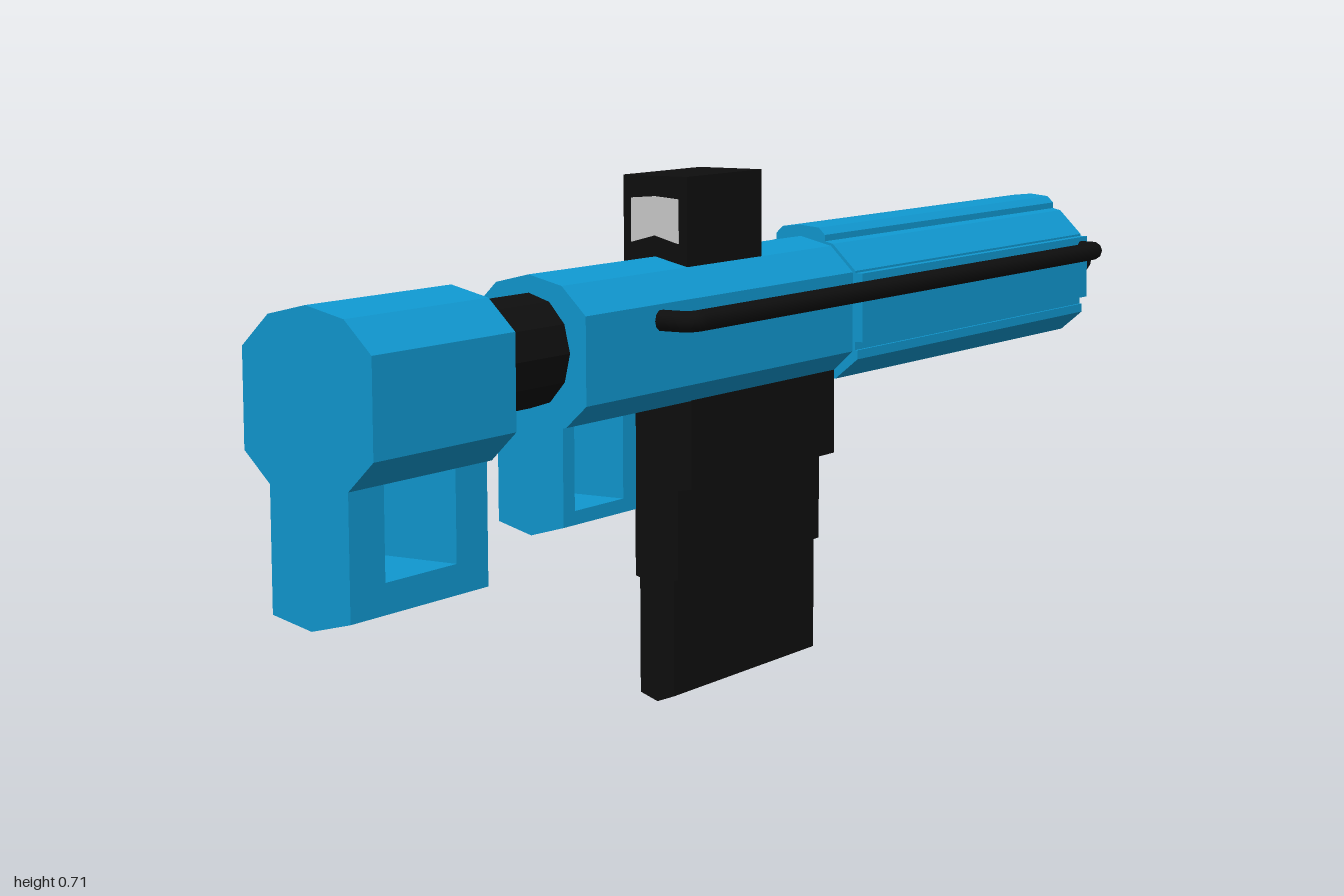
import * as THREE from 'three';

const mat = (color) => new THREE.MeshStandardMaterial({ color, flatShading: true });
const blue = mat(0x1098d0), black = mat(0x0e0e0e), grey = mat(0xcccccc);
const smoothBlack = new THREE.MeshStandardMaterial({ color: 0x0e0e0e });

export function createModel() {
  const model = new THREE.Group();

  const add = (name, geometry, material, x = 0, y = 0, z = 0) => {
    const mesh = new THREE.Mesh(geometry, material);
    mesh.name = name;
    mesh.position.set(x, y, z);
    model.add(mesh);
    return mesh;
  };

  // Prism along z; half lists the +x side of a mirrored outline, top to bottom
  const prism = (name, half, z0, z1, material) => {
    const mirrored = half.filter(([x]) => x > 0).map(([x, y]) => [-x, y]).reverse();
    const shape = new THREE.Shape([...half, ...mirrored].map(([x, y]) => new THREE.Vector2(x, y)));
    const geometry = new THREE.ExtrudeGeometry(shape, { depth: z1 - z0, bevelEnabled: false });
    return add(name, geometry, material, 0, 0, z0);
  };

  // Rectangular loop below a body: two walls and a floor with a shallow V underside
  const loop = (name, w, top, bottom, floor, z0, z1, h0, h1) => {
    const profile = (y) => [[w, y], [w, bottom + 0.014], [0, bottom]];
    prism(name + 'BackWall', profile(top), z0, h0, blue);
    prism(name + 'FrontWall', profile(top), h1, z1, blue);
    prism(name + 'Floor', profile(floor), h0, h1, blue);
  };

  // Stock and its grip loop
  prism('stock', [[0, 0.605], [0.055, 0.592], [0.094, 0.553], [0.094, 0.432], [0.057, 0.395], [0, 0.385]], 0.725, 1, blue);
  loop('stockGrip', 0.057, 0.41, 0.228, 0.28, 0.735, 1, 0.798, 0.935);

  // Neck between stock and receiver
  const neck = add('neck', new THREE.CylinderGeometry(0.073, 0.073, 0.2, 12), black, 0, 0.508, 0.645);
  neck.rotation.x = Math.PI / 2;
  neck.scale.x = 0.85;

  // Receiver, running on inside the fore-end
  const body = [[0, 0.604], [0.05, 0.592], [0.086, 0.556], [0.086, 0.443], [0.055, 0.414], [0, 0.408]];
  prism('receiver', body, -0.105, 0.565, blue);
  loop('triggerGuard', 0.05, 0.43, 0.273, 0.305, 0.4, 0.565, 0.43, 0.54);

  // Fore-end core with top rail, side plates and lower cover
  const z0 = -0.845, z1 = -0.105;
  prism('foreEnd', [[0, 0.607], [0.053, 0.595], [0.09, 0.558], [0.09, 0.44], [0.055, 0.41], [0, 0.405]], z0, z1, blue);
  prism('topRail', [[0, 0.62], [0.03, 0.617], [0.04, 0.607], [0.04, 0.58]], z0, z1, blue);
  prism('sidePlates', [[0.102, 0.555], [0.102, 0.457]], z0, z1, blue);
  prism('lowerCover', [[0.094, 0.445], [0.094, 0.432], [0.058, 0.402], [0, 0.395]], z0, z1, blue);

  // Barrel
  const barrel = add('barrel', new THREE.CylinderGeometry(0.038, 0.038, 0.2, 16), black, 0, 0.508, -0.9);
  barrel.rotation.x = Math.PI / 2;

  // Magazine in three stepped tiers
  [[0.056, 0.43, 0.295, -0.105, 0.275],
   [0.034, 0.3, 0.17, -0.1, 0.275],
   [0.027, 0.175, 0.01, -0.097, 0.275]].forEach(([w, top, low, a, b], i) =>
    prism('magazineTier' + (i + 1), [[w, top], [w, low], [0, low - 0.01]], a, b, black));

  // Sight with a pale lens at each end
  add('sight', new THREE.BoxGeometry(0.1, 0.13, 0.19), black, 0, 0.646, 0.18);
  const lens = [[0, 0.684], [0.037, 0.681], [0.037, 0.622], [0, 0.632]];
  prism('frontLens', lens, 0.27, 0.277, grey);
  prism('backLens', lens, 0.083, 0.09, grey);

  // Side rods with rounded bends returning to the body
  const v = (x, z) => new THREE.Vector3(x, 0.535, z);
  for (const s of [1, -1]) {
    const path = new THREE.CurvePath();
    const X = 0.131, front = 0.394, back = -0.821, r = 0.02;
    path.add(new THREE.LineCurve3(v(s * 0.07, front), v(s * (X - r), front)));
    path.add(new THREE.QuadraticBezierCurve3(v(s * (X - r), front), v(s * X, front), v(s * X, front - r)));
    path.add(new THREE.LineCurve3(v(s * X, front - r), v(s * X, back + r)));
    path.add(new THREE.QuadraticBezierCurve3(v(s * X, back + r), v(s * X, back), v(s * (X - r), back)));
    path.add(new THREE.LineCurve3(v(s * (X - r), back), v(s * 0.07, back)));
    add(s > 0 ? 'leftRod' : 'rightRod', new THREE.TubeGeometry(path, 240, 0.014, 10), smoothBlack);
  }

  return model;
}
